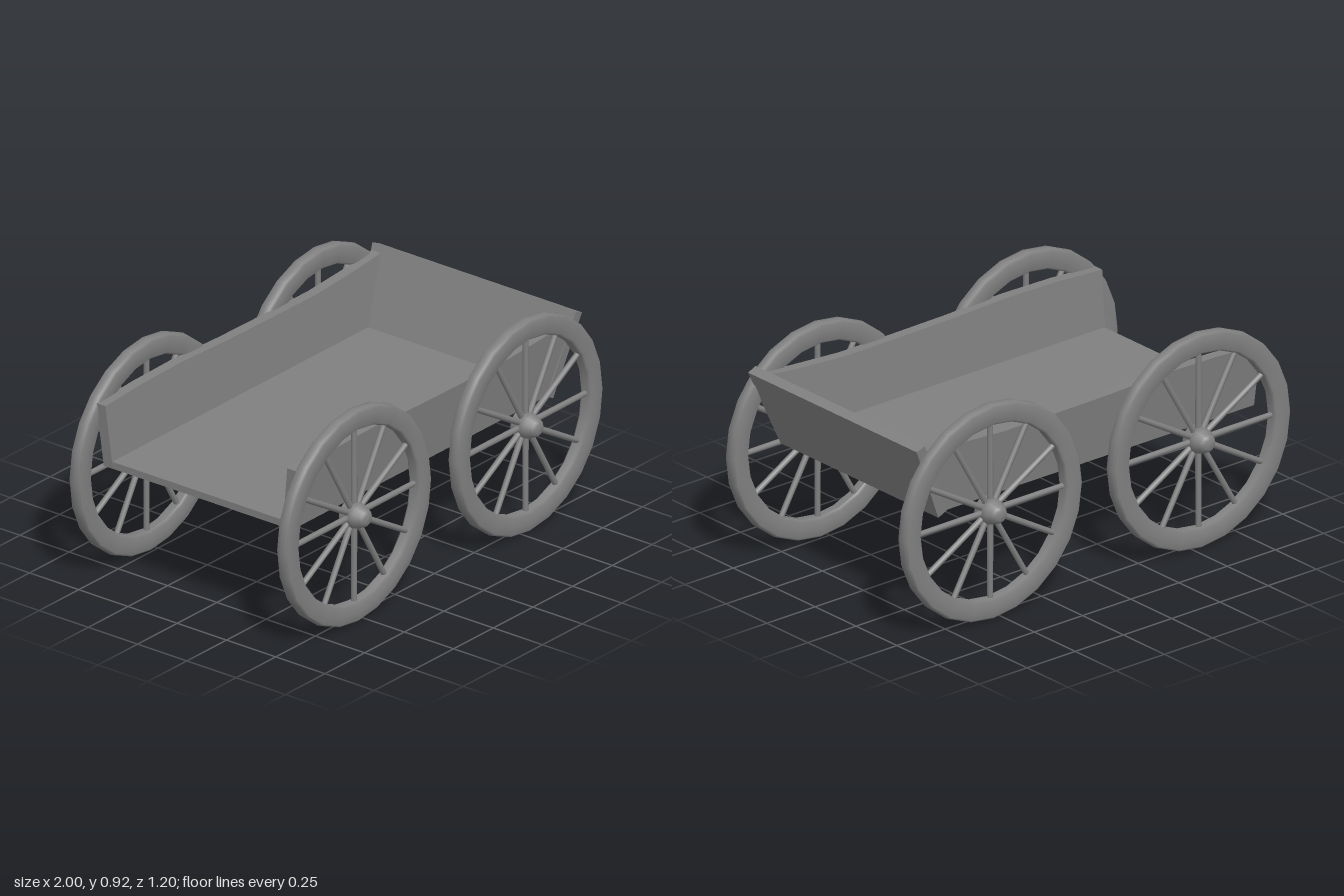
import * as THREE from 'three';

const material = new THREE.MeshStandardMaterial({ color: 0x808080 });
const V2 = (p) => new THREE.Vector2(p[0], p[1]);

function addMesh(parent, name, geometry) {
  const mesh = new THREE.Mesh(geometry, material);
  mesh.name = name;
  parent.add(mesh);
  return mesh;
}

// Board cut from an outline in x/y; adjustZ(y, z) leans or tapers it.
function board(outline, depth, adjustZ) {
  const geo = new THREE.ExtrudeGeometry(new THREE.Shape(outline.map(V2)), { depth, bevelEnabled: false });
  const pos = geo.attributes.position;
  for (let i = 0; i < pos.count; i++) pos.setZ(i, adjustZ(pos.getY(i), pos.getZ(i)));
  geo.computeVertexNormals();
  return geo;
}

// Spoked wheel around the z axis, hub cap towards +z.
function createWheel(name) {
  const wheel = new THREE.Group();
  wheel.name = name;

  const rimProfile = [
    [0.375, -0.017], [0.384, -0.027], [0.42, -0.029], [0.45, -0.028], [0.459, -0.02],
    [0.462, 0], [0.459, 0.02], [0.45, 0.028], [0.42, 0.029], [0.384, 0.027],
    [0.375, 0.017], [0.375, -0.017],
  ].map(V2);
  addMesh(wheel, 'rim', new THREE.LatheGeometry(rimProfile, 24).rotateX(Math.PI / 2));

  const hubProfile = [
    [0, -0.036], [0.052, -0.036], [0.052, -0.034], [0.055, 0.015],
    [0.05, 0.032], [0.04, 0.052], [0.034, 0.064], [0.022, 0.073], [0, 0.075],
  ].map(V2);
  addMesh(wheel, 'hub', new THREE.LatheGeometry(hubProfile, 12).rotateX(Math.PI / 2));

  const spoke = new THREE.CylinderGeometry(0.012, 0.013, 0.35, 8, 1, true).translate(0, 0.21, 0);
  for (let i = 0; i < 12; i++) addMesh(wheel, 'spoke', spoke).rotation.z = (i * Math.PI) / 6;
  return wheel;
}

export function createModel() {
  const wagon = new THREE.Group();
  wagon.name = 'wagon';

  // Floor
  const floor = [[-0.87, 0.5], [0.75, 0.5], [0.76, 0.53], [-0.87, 0.53]];
  addMesh(wagon, 'floor', board(floor, 0.9, (y, z) => z - 0.45));

  // Side boards, leaning outwards with a gently sagging top edge
  const side = [
    [-0.87, 0.5], [0.75, 0.5], [0.88, 0.805], [0.7, 0.787], [0.45, 0.772],
    [0.2, 0.773], [-0.1, 0.776], [-0.4, 0.785], [-0.65, 0.781], [-0.88, 0.768],
  ];
  for (const s of [1, -1]) {
    const start = s > 0 ? 0.432 : -0.478;
    addMesh(wagon, s > 0 ? 'frontSideBoard' : 'backSideBoard',
      board(side, 0.046, (y, z) => start + z + s * (y - 0.5) * 0.11));
  }

  // Sloping end board, wider at the top
  const end = [[0.73, 0.5], [0.77, 0.48], [0.91, 0.813], [0.87, 0.83]];
  addMesh(wagon, 'endBoard', board(end, 2, (y, z) => (z - 1) * (0.482 + (y - 0.48) * 0.1)));

  // Four wheels
  for (const x of [-0.54, 0.54]) {
    for (const s of [1, -1]) {
      const wheel = createWheel('wheel');
      wheel.position.set(x, 0.462, s * 0.527);
      if (s < 0) wheel.rotation.y = Math.PI;
      wagon.add(wheel);
    }
  }
  return wagon;
}
